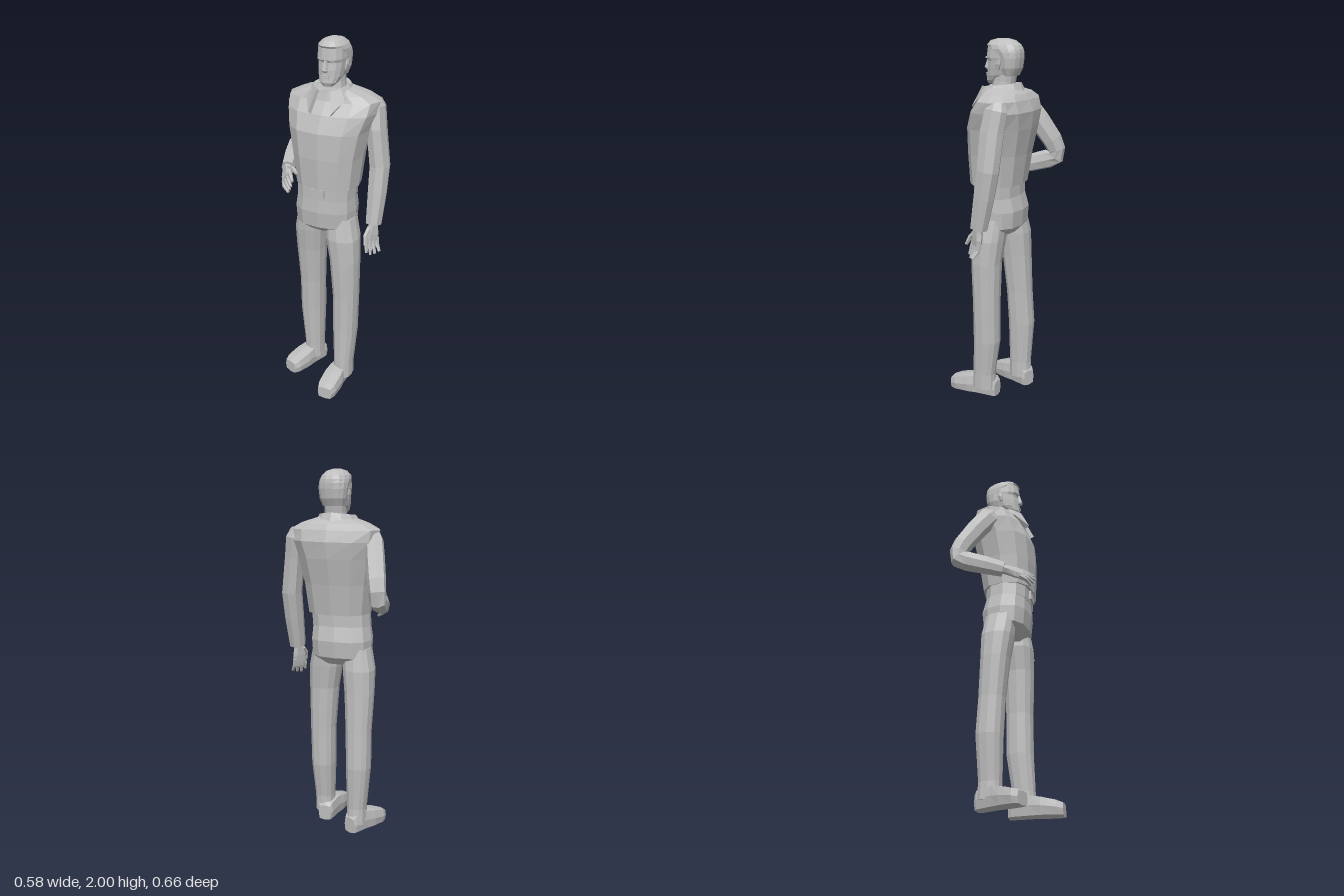
import * as THREE from 'three';

const V = (x, y, z) => new THREE.Vector3(x, y, z);
const YAW = 0.47; // the body is turned towards its right
const RIGHT = V(Math.cos(YAW), 0, Math.sin(YAW));
const UP = V(0, 1, 0);

export function createModel() {
  const model = new THREE.Group();
  const grey = new THREE.MeshStandardMaterial({ color: 0xbebebe, flatShading: true });
  grey.name = 'plain grey';

  const add = (name, geometry, parent = model) => {
    const mesh = new THREE.Mesh(geometry, grey);
    mesh.name = name;
    parent.add(mesh);
    return mesh;
  };

  // Skin closed cross-sections and cap both ends
  function skin(rings) {
    const n = rings[0].length, pos = [], idx = [];
    rings.forEach(r => r.forEach(p => pos.push(p.x, p.y, p.z)));
    for (let j = 0; j < rings.length - 1; j++) for (let i = 0; i < n; i++) {
      const a = j * n + i, b = j * n + (i + 1) % n, c = b + n, d = a + n;
      idx.push(a, d, b, b, d, c);
    }
    [0, rings.length - 1].forEach(j => {
      const mid = rings[j].reduce((s, p) => s.add(p), V(0, 0, 0)).divideScalar(n);
      const m = pos.length / 3;
      pos.push(mid.x, mid.y, mid.z);
      for (let i = 0; i < n; i++) {
        const a = j * n + i, b = j * n + (i + 1) % n;
        idx.push(m, j ? b : a, j ? a : b);
      }
    });
    const g = new THREE.BufferGeometry();
    g.setAttribute('position', new THREE.Float32BufferAttribute(pos, 3));
    g.setIndex(idx);
    g.computeVertexNormals();
    return g;
  }

  // Rounded sections [x, y, z, halfWidth, halfDepth] along a path
  function loft(list, { side = RIGHT, axis = null, n = 10, power = 0.8 } = {}) {
    const pts = list.map(s => V(s[0], s[1], s[2]));
    return skin(list.map((s, j) => {
      const t = axis ? axis.clone() :
        pts[Math.min(j + 1, pts.length - 1)].clone().sub(pts[Math.max(j - 1, 0)]).normalize();
      const u = side.clone().addScaledVector(t, -side.dot(t)).normalize();
      const v = u.clone().cross(t);
      const round = q => Math.sign(q) * Math.pow(Math.abs(q), power);
      return Array.from({ length: n }, (_, i) => {
        const a = i / n * Math.PI * 2;
        return pts[j].clone()
          .addScaledVector(u, s[3] * round(Math.cos(a)))
          .addScaledVector(v, s[4] * round(Math.sin(a)));
      });
    }));
  }
  const upright = { axis: UP, n: 12, power: 0.78 };

  // Jacket body with broad, nearly level shoulders
  add('jacket', loft([
    [-0.027, 1.235, 0.042, 0.17, 0.14], [-0.024, 1.40, 0.034, 0.19, 0.156],
    [-0.016, 1.54, 0.02, 0.218, 0.168], [0, 1.63, 0.002, 0.245, 0.156],
    [0.006, 1.69, -0.01, 0.252, 0.122], [0.006, 1.722, -0.004, 0.19, 0.106],
    [0.002, 1.752, 0.016, 0.09, 0.078]], upright));

  // Waist, belt, hips
  add('trouserTop', loft([
    [-0.037, 0.955, 0.02, 0.1, 0.07], [-0.037, 1.0, 0.026, 0.164, 0.122],
    [-0.037, 1.09, 0.027, 0.169, 0.132], [-0.036, 1.17, 0.036, 0.16, 0.12]], upright));
  add('belt', loft([[-0.036, 1.165, 0.038, 0.162, 0.122], [-0.032, 1.245, 0.041, 0.162, 0.122]], upright));
  const buckle = add('beltBuckle', new THREE.BoxGeometry(0.075, 0.05, 0.012));
  buckle.position.set(-0.092, 1.205, 0.15);
  buckle.rotation.y = -YAW;

  // Trouser legs
  const legs = {
    left: [[0.05, 0.05, 0.128, 0.052, 0.064], [0.052, 0.14, 0.128, 0.052, 0.062],
      [0.061, 0.34, 0.112, 0.065, 0.073], [0.063, 0.56, 0.113, 0.069, 0.073],
      [0.056, 0.8, 0.112, 0.08, 0.08], [0.046, 0.93, 0.1, 0.09, 0.09], [0.04, 1.05, 0.08, 0.075, 0.085]],
    right: [[-0.11, 0.05, -0.085, 0.054, 0.062], [-0.111, 0.14, -0.082, 0.052, 0.06],
      [-0.117, 0.38, -0.088, 0.067, 0.071], [-0.118, 0.58, -0.076, 0.069, 0.07],
      [-0.123, 0.8, -0.06, 0.08, 0.078], [-0.122, 0.93, -0.046, 0.086, 0.088], [-0.115, 1.05, -0.025, 0.074, 0.084]],
  };
  for (const k in legs) add(k + 'TrouserLeg', loft(legs[k], upright));

  // Shoes: heel to toe profile with a flat sole
  const shoe = (name, heel, toe) => {
    const a = V(heel[0], 0, heel[1]), d = V(toe[0], 0, toe[1]).sub(a);
    const profile = [[0, 0.038, 0.045], [0.06, 0.046, 0.055], [0.4, 0.05, 0.06],
      [0.6, 0.058, 0.054], [0.88, 0.056, 0.043], [1, 0.042, 0.036]];
    add(name, loft(profile.map(([f, w, h]) => [a.x + d.x * f, h, a.z + d.z * f, w, h]),
      { side: d.clone().cross(UP).normalize(), axis: d.clone().normalize(), n: 8, power: 0.45 }));
  };
  shoe('leftShoe', [0.064, 0.055], [-0.066, 0.308]);
  shoe('rightShoe', [-0.064, -0.13], [-0.262, 0.045]);

  // Sleeves: left hangs, right is bent with the elbow behind
  const sleeve = { n: 8, power: 0.8 };
  add('leftSleeve', loft([
    [0.205, 1.685, 0.05, 0.035, 0.045], [0.215, 1.65, 0.058, 0.046, 0.062], [0.218, 1.54, 0.08, 0.05, 0.066],
    [0.236, 1.34, 0.1, 0.053, 0.06], [0.224, 1.2, 0.122, 0.05, 0.056],
    [0.206, 1.03, 0.15, 0.042, 0.047]], sleeve));
  add('rightSleeve', loft([
    [-0.18, 1.67, -0.085, 0.035, 0.045], [-0.188, 1.63, -0.115, 0.05, 0.062], [-0.185, 1.55, -0.18, 0.052, 0.06],
    [-0.184, 1.44, -0.256, 0.05, 0.055], [-0.186, 1.385, -0.28, 0.046, 0.05], [-0.19, 1.345, -0.278, 0.045, 0.05],
    [-0.206, 1.327, -0.235, 0.045, 0.053], [-0.232, 1.3, -0.14, 0.04, 0.05],
    [-0.25, 1.275, -0.045, 0.034, 0.042]], { side: V(1, 0, 0.1), ...sleeve }));

  // Hands: palm, four fingers and a thumb on the spread side
  function hand(name, wrist, dir, spread) {
    const g = new THREE.Group();
    g.name = name;
    model.add(g);
    dir.normalize();
    spread.addScaledVector(dir, -spread.dot(dir)).normalize();
    const curl = spread.clone().cross(dir);
    const at = (d, s, c, w, h) => [...wrist.clone().addScaledVector(dir, d)
      .addScaledVector(spread, s).addScaledVector(curl, c).toArray(), w, h];
    const opt = { side: spread, n: 6 };
    add('palm', loft([at(-0.03, 0, 0, 0.028, 0.023), at(0.02, 0, 0, 0.03, 0.022),
      at(0.065, 0, 0, 0.043, 0.021), at(0.1, 0, 0, 0.041, 0.017)], opt), g);
    for (let i = 0; i < 4; i++) {
      const s = (i - 1.5) * 0.021, l = 0.08 - Math.abs(i - 1.7) * 0.012;
      add('finger', loft([at(0.085, s, 0, 0.011, 0.014), at(0.1 + l * 0.4, s * 1.1, 0.006, 0.011, 0.012),
        at(0.1 + l, s * 1.15, 0.024 + (1.5 - i) * 0.006, 0.007, 0.008)], { side: spread, n: 5 }), g);
    }
    add('thumb', loft([at(0.03, 0.022, 0, 0.016, 0.016), at(0.07, 0.052, 0.012, 0.013, 0.013),
      at(0.115, 0.06, 0.028, 0.007, 0.008)], { side: spread, n: 5 }), g);
  }
  hand('leftHand', V(0.204, 1.035, 0.152), V(-0.1, -1, 0.12), V(-0.85, 0, 0.5));
  hand('rightHand', V(-0.252, 1.275, -0.04), V(-0.02, -0.2, 1), V(0.5, 0.86, 0));

  // Neck and turned-down collar, open at the front with long points
  add('neck', loft([[0, 1.71, 0.022, 0.062, 0.06], [0.002, 1.78, 0.012, 0.056, 0.058],
    [0.004, 1.83, 0.006, 0.056, 0.06]], upright));
  const collar = [];
  for (let i = 0; i <= 10; i++) {
    const f = Math.abs(i - 5) / 5, a = Math.PI / 2 + 0.42 + i / 10 * (Math.PI * 2 - 0.84);
    const tip = Math.max(0, f - 0.7) / 0.3, top = 1.778 - 0.025 * f;
    const p = (r, y) => V(r * Math.cos(a), y, 0.024 + (r + 0.015 * f) * Math.sin(a));
    collar.push([p(0.097, top), p(0.118 + 0.035 * tip, 1.732 - 0.085 * tip),
      p(0.104 + 0.03 * tip, 1.718 - 0.085 * tip), p(0.08, top - 0.01)]);
  }
  add('collar', skin(collar)).rotation.y = -YAW;

  // Head, sections [y, halfWidth, back, front]
  const head = new THREE.Group();
  head.name = 'head';
  head.position.set(-0.002, 0, 0.013);
  head.rotation.y = -0.5;
  model.add(head);
  const slices = list => loft(list.map(([y, w, b, f]) => [0, y, (b + f) / 2, w, (f - b) / 2]),
    { side: V(1, 0, 0), axis: UP, n: 14, power: 0.85 });
  add('face', slices([[1.766, 0.028, 0.035, 0.09], [1.785, 0.048, 0, 0.098], [1.812, 0.062, -0.05, 0.094],
    [1.85, 0.069, -0.08, 0.092], [1.886, 0.073, -0.09, 0.086], [1.902, 0.075, -0.095, 0.096],
    [1.958, 0.072, -0.092, 0.089]]), head);
  add('hair', slices([[1.81, 0.058, -0.076, -0.01], [1.85, 0.073, -0.096, 0.01], [1.9, 0.078, -0.104, 0.022],
    [1.93, 0.079, -0.105, 0.05], [1.948, 0.077, -0.103, 0.08], [1.968, 0.07, -0.093, 0.094],
    [1.99, 0.048, -0.064, 0.074], [2.0, 0.02, -0.025, 0.035]]), head);
  add('nose', loft([[0, 1.84, 0.094, 0.016, 0.012], [0, 1.85, 0.098, 0.016, 0.018],
    [0, 1.875, 0.093, 0.01, 0.014], [0, 1.9, 0.088, 0.008, 0.01]],
    { side: V(1, 0, 0), axis: UP, n: 6 }), head);
  const box = (name, w, h, d, x, y, z, turn = 0) => {
    const m = add(name, new THREE.BoxGeometry(w, h, d), head);
    m.position.set(x, y, z);
    m.rotation.y = turn;
  };
  box('upperLip', 0.042, 0.007, 0.009, 0, 1.819, 0.094);
  box('lowerLip', 0.034, 0.007, 0.009, 0, 1.809, 0.094);
  for (const s of [-1, 1]) {
    box('eyebrow', 0.034, 0.008, 0.009, s * 0.032, 1.903, 0.087, s * 0.4);
    box('eye', 0.024, 0.009, 0.008, s * 0.031, 1.886, 0.077, s * 0.4);
    add('ear', loft([[s * 0.069, 1.842, 0.004, 0.007, 0.01], [s * 0.075, 1.87, -0.002, 0.008, 0.016],
      [s * 0.076, 1.893, -0.006, 0.006, 0.012]], { side: V(1, 0, 0), axis: UP, n: 6 }), head);
  }
  return model;
}
